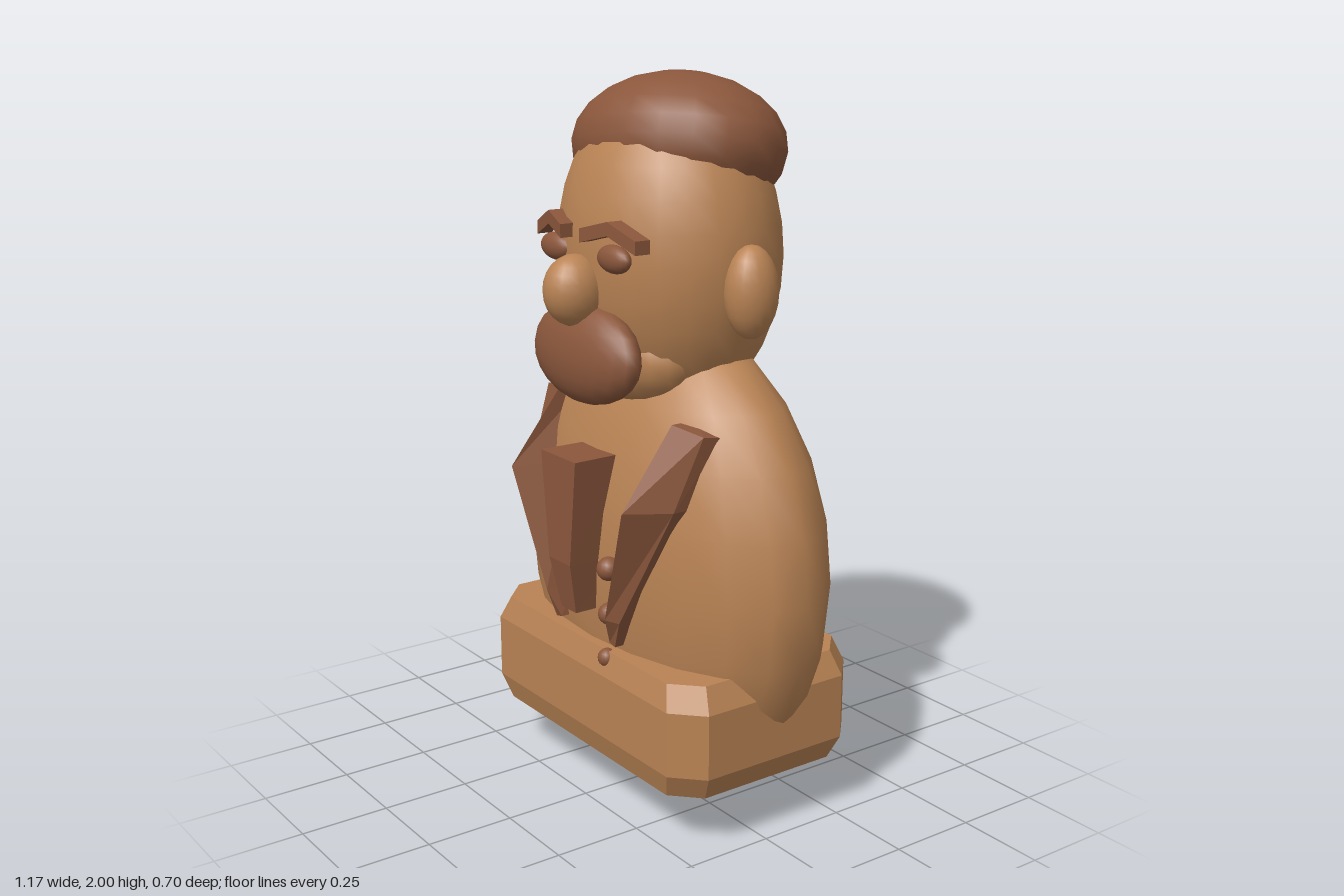
import * as THREE from 'three';

const tan = new THREE.MeshStandardMaterial({ color: 0xb98354 });
tan.name = 'tan';
const brown = new THREE.MeshStandardMaterial({ color: 0x8b573c });
brown.name = 'brown';

// Smooth ellipsoid from centre, radii and rotation
function ellipsoid(name, mat, pos, radii, rot = [0, 0, 0], w = 20, h = 12) {
  const mesh = new THREE.Mesh(new THREE.SphereGeometry(1, w, h), mat);
  mesh.name = name;
  mesh.position.set(...pos);
  mesh.scale.set(...radii);
  mesh.rotation.set(...rot);
  return mesh;
}

// Flat-faced solid through rings listed upwards; each ring runs +x, -z, -x, +z
function loft(name, mat, rings) {
  const v = [];
  const tri = (a, b, c) => v.push(...a, ...b, ...c);
  const n = rings[0].length;
  for (let r = 0; r < rings.length - 1; r++) {
    const a = rings[r], b = rings[r + 1];
    for (let i = 0; i < n; i++) {
      const j = (i + 1) % n;
      tri(a[i], a[j], b[j]);
      tri(a[i], b[j], b[i]);
    }
  }
  const first = rings[0], last = rings[rings.length - 1];
  for (let i = 1; i < n - 1; i++) {
    tri(first[0], first[i + 1], first[i]);
    tri(last[0], last[i], last[i + 1]);
  }
  const geo = new THREE.BufferGeometry();
  geo.setAttribute('position', new THREE.Float32BufferAttribute(v, 3));
  geo.computeVertexNormals();
  const mesh = new THREE.Mesh(geo, mat);
  mesh.name = name;
  return mesh;
}

// Chamfered octagonal plinth
function makeBase() {
  const X = 0.497, Z = 0.303, cx = 0.08, cz = 0.077, mid = -0.032;
  const outline = [
    [X, Z - cz], [X, cz - Z], [X - cx, -Z], [cx - X, -Z],
    [-X, cz - Z], [-X, Z - cz], [cx - X, Z], [X - cx, Z],
  ];
  const layers = [[0.165, 0.93], [0.235, 1], [0.415, 1], [0.482, 0.93]];
  return loft('base', tan, layers.map(([y, s]) => outline.map(([x, z]) => [x * s, y, mid + z * s])));
}

// Folded lapel, mirrored by side
function makeLapel(side) {
  // outer front, outer back, inner back, inner front
  const rings = [
    [[0.145, 0.5, 0.245], [0.145, 0.5, 0.2], [0.12, 0.505, 0.2], [0.12, 0.505, 0.245]],
    [[0.18, 0.58, 0.255], [0.185, 0.58, 0.19], [0.135, 0.585, 0.19], [0.145, 0.585, 0.277]],
    [[0.342, 0.92, 0.195], [0.342, 0.92, 0.08], [0.212, 0.92, 0.14], [0.27, 0.92, 0.307]],
    [[0.368, 1.115, 0.12], [0.37, 1.105, 0.06], [0.26, 1.13, 0.06], [0.265, 1.13, 0.145]],
  ].map((ring) => {
    const pts = ring.map(([x, y, z]) => [x * side, y, z]);
    return side < 0 ? pts.reverse() : pts;
  });
  return loft(side > 0 ? 'leftLapel' : 'rightLapel', brown, rings);
}

// Arched eyebrow wrapped around the forehead
function makeBrow(side) {
  const geo = new THREE.BoxGeometry(1, 1, 1, 2, 1, 1);
  const p = geo.attributes.position;
  for (let i = 0; i < p.count; i++) {
    const t = p.getX(i) * side; // -0.5 inner, 0.5 outer
    const y = 1.632 - 0.05 * Math.abs(t) - 0.015 * Math.max(t, 0) * 2 + p.getY(i) * 0.036;
    const z = 0.238 - 0.045 * (t + 0.1) + p.getZ(i) * 0.045;
    p.setXYZ(i, side * (0.137 + t * 0.185), y - 0.003, z);
  }
  const flat = geo.toNonIndexed();
  flat.computeVertexNormals();
  const mesh = new THREE.Mesh(flat, brown);
  mesh.name = side > 0 ? 'leftEyebrow' : 'rightEyebrow';
  return mesh;
}

export function createModel() {
  const model = new THREE.Group();
  model.name = 'bustFigure';

  // Main masses
  model.add(
    makeBase(),
    ellipsoid('body', tan, [0, 0.68, -0.055], [0.585, 0.672, 0.295]),
    ellipsoid('head', tan, [0, 1.53, -0.037], [0.337, 0.445, 0.287], [0, 0, 0], 24, 16),
    ellipsoid('jaw', tan, [0, 1.27, 0.08], [0.23, 0.14, 0.13]),
    ellipsoid('cap', brown, [-0.022, 1.8, -0.085], [0.33, 0.2, 0.266], [-0.2, 0, 0.12]),
  );

  // Face
  model.add(
    ellipsoid('nose', tan, [0, 1.455, 0.267], [0.075, 0.095, 0.086]),
    ellipsoid('moustache', brown, [0, 1.285, 0.23], [0.23, 0.135, 0.078], [-0.1, 0, 0]),
  );
  for (const side of [1, -1]) {
    const label = side > 0 ? 'left' : 'right';
    model.add(
      ellipsoid(label + 'Ear', tan, [side * 0.348, 1.468, -0.043], [0.068, 0.122, 0.074]),
      ellipsoid(label + 'Eye', brown, [side * 0.135, 1.55, 0.232], [0.067, 0.037, 0.028]),
      makeBrow(side),
      makeLapel(side),
    );
  }

  // Tie: tapered slab
  model.add(loft('tie', brown, [[0.575, 0.035, 0.297], [0.72, 0.052, 0.325], [1.015, 0.083, 0.325]].map(
    ([y, w, z]) => [[w, y, z], [w * 0.95, y, 0.15], [-w * 0.95, y, 0.15], [-w, y, z]])));

  // Buttons
  [[0.713, 0.033, 0.24], [0.585, 0.03, 0.24], [0.46, 0.026, 0.247]].forEach(([y, r, z], i) => {
    model.add(ellipsoid('button' + (i + 1), brown, [0.11, y, z], [r, r, r], [0, 0, 0], 16, 10));
  });
  return model;
}
